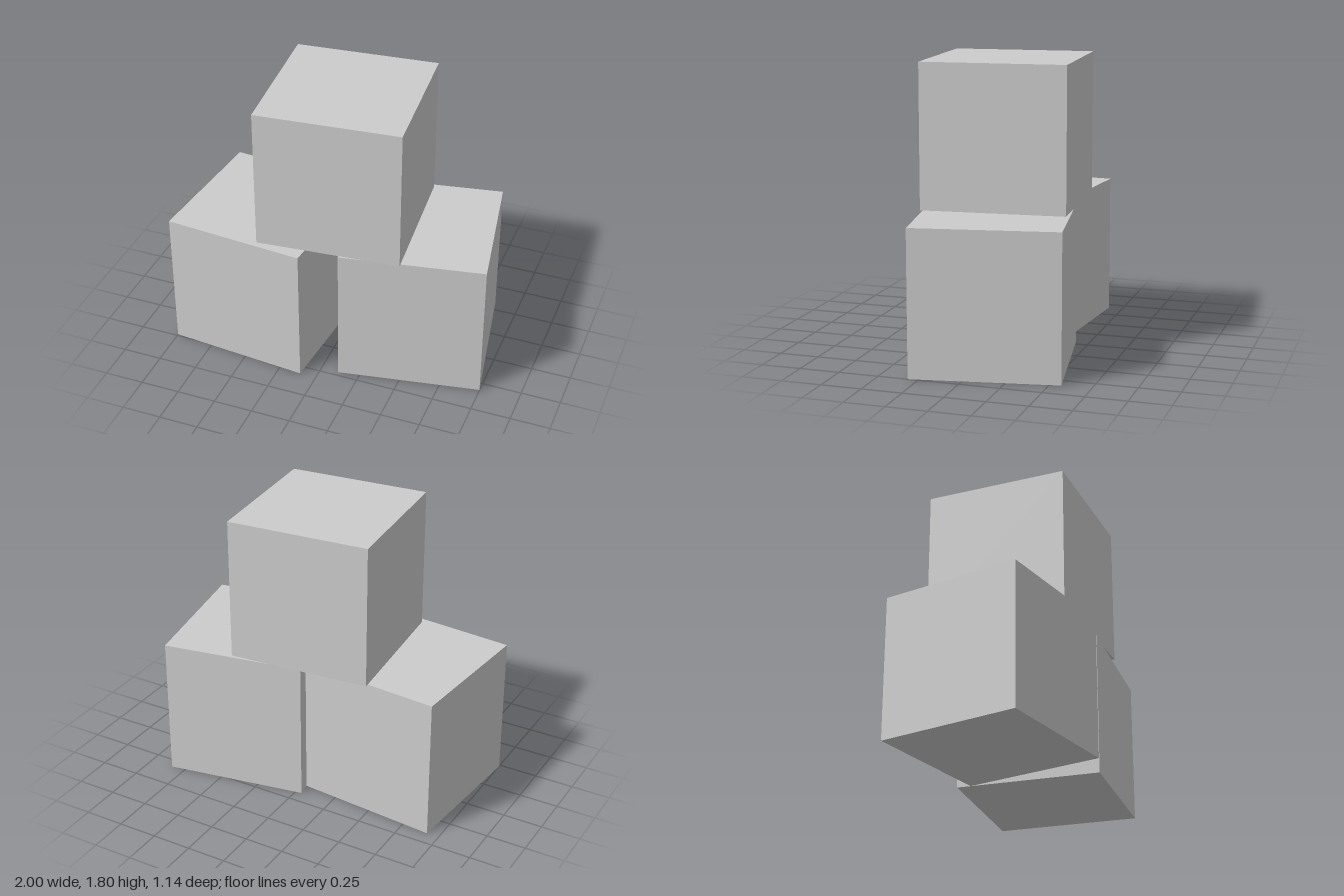
import * as THREE from 'three';

export function createModel() {
  const group = new THREE.Group();
  const grey = new THREE.MeshStandardMaterial({ color: 0xcccccc });
  grey.name = 'light grey';

  const size = 0.898;
  const cube = new THREE.BoxGeometry(size, size, size);

  // Each block: name, centre x, layer, centre z, turn in degrees
  const blocks = [
    ['lowerRightBlock', -0.514, 0, 0.08, -5],
    ['lowerLeftBlock', 0.479, 0, -0.05, 10],
    ['topBlock', 0.005, 1, 0.015, 5],
  ];
  for (const [name, x, layer, z, turn] of blocks) {
    const mesh = new THREE.Mesh(cube, grey);
    mesh.name = name;
    mesh.position.set(x, size * (layer + 0.5), z);
    mesh.rotation.y = THREE.MathUtils.degToRad(turn);
    group.add(mesh);
  }
  return group;
}
